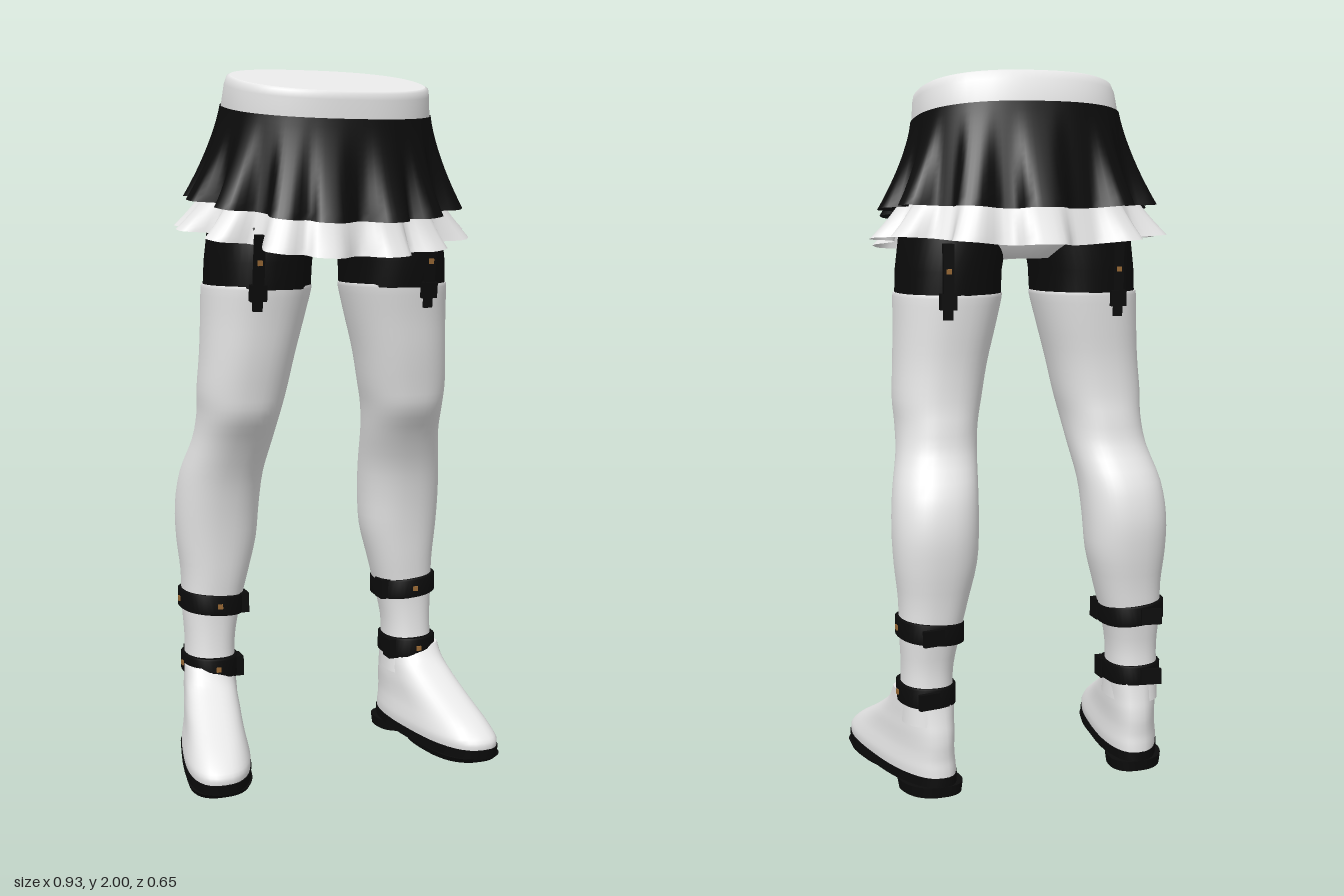
import * as THREE from 'three';

const mat = (name, color, side = THREE.FrontSide) => {
  const m = new THREE.MeshStandardMaterial({ color, side });
  m.name = name;
  return m;
};

// Superellipse point on a ring: e = 2 is an ellipse, larger is boxier
const spow = (v, e) => Math.sign(v) * Math.pow(Math.abs(v), 2 / e);
const ring = (a, cx, cz, rx, rz, e = 2.3) => [cx + rx * spow(Math.cos(a), e), cz + rz * spow(Math.sin(a), e)];
const lerp = THREE.MathUtils.lerp;

// Surface through rings listed from bottom to top; point(row, angle) returns [x, y, z]
function loft(rows, point, { n = 40, caps = true } = {}) {
  const pos = [], idx = [];
  for (const row of rows) for (let j = 0; j < n; j++) pos.push(...point(row, (j / n) * Math.PI * 2));
  for (let i = 0; i < rows.length - 1; i++) {
    for (let j = 0; j < n; j++) {
      const k = (j + 1) % n, p = i * n + j, q = i * n + k;
      idx.push(p, p + n, q, q, p + n, q + n);
    }
  }
  if (caps) {
    for (const [row, top] of [[rows[0], false], [rows[rows.length - 1], true]]) {
      const start = pos.length / 3, c = [0, 0, 0];
      for (let j = 0; j < n; j++) {
        const p = point(row, (j / n) * Math.PI * 2);
        pos.push(...p);
        p.forEach((v, m) => { c[m] += v / n; });
      }
      pos.push(...c);
      for (let j = 0; j < n; j++) {
        const p = start + j, q = start + ((j + 1) % n);
        idx.push(start + n, top ? q : p, top ? p : q);
      }
    }
  }
  const g = new THREE.BufferGeometry();
  g.setAttribute('position', new THREE.Float32BufferAttribute(pos, 3));
  g.setIndex(idx);
  g.computeVertexNormals();
  return g;
}

// Rows are [y, xInner, xOuter, zBack, zFront]
const boxPoint = ([y, x0, x1, z0, z1], a) => {
  const [x, z] = ring(a, (x0 + x1) / 2, (z0 + z1) / 2, (x1 - x0) / 2, (z1 - z0) / 2);
  return [x, y, z];
};

// Adds in-between rows along a smooth curve
function smooth(rows, per = 3) {
  const out = [];
  const cr = (a, b, c, d, t) => b + 0.5 * t * (c - a + t * (2 * a - 5 * b + 4 * c - d + t * (3 * (b - c) + d - a)));
  for (let i = 0; i < rows.length - 1; i++) {
    const a = rows[Math.max(i - 1, 0)], b = rows[i], c = rows[i + 1], d = rows[Math.min(i + 2, rows.length - 1)];
    for (let s = 0; s < per; s++) out.push(b.map((_, m) => cr(a[m], b[m], c[m], d[m], s / per)));
  }
  out.push(rows[rows.length - 1]);
  return out;
}

// Fold positions [x, z] around the skirt
const folds = [[-.22, .3], [-.08, .33], [.1, .33], [.25, .29], [.38, .17], [.4, .01], [.39, -.13],
  [.23, -.28], [.02, -.32], [-.23, -.28], [-.37, -.14], [-.39, .02], [-.37, .17]]
  .map(([x, z]) => Math.atan2(z / .27, x / .34));
const foldAt = (a) => Math.min(1, folds.reduce((s, f) => {
  const d = Math.atan2(Math.sin(a - f), Math.cos(a - f));
  return s + Math.exp(-Math.pow(d / .15, 4));
}, 0));

// Flared cloth; top and hem are { y, tilt, rx, rz, cz }
function flare(top, hem, depth, lift) {
  const rows = Array.from({ length: 13 }, (_, i) => 1 - i / 12);
  return loft(rows, (t, a) => {
    const m = (k) => lerp(top[k], hem[k], t);
    const f = 1 + depth * Math.pow(t, 1.6) * foldAt(a);
    const [x, z] = ring(a, 0, m('cz'), m('rx') * f, m('rz') * f, lerp(2.4, 2.2, t));
    return [x, m('y') + m('tilt') * z + lift * t * Math.cos(a) ** 2, z];
  }, { n: 168, caps: false });
}

export function createModel() {
  const white = mat('white', 0xf2f2f2);
  const whiteCloth = mat('white cloth', 0xf0f0f0, THREE.DoubleSide);
  const black = mat('black', 0x0b0b0b);
  const blackCloth = mat('black cloth', 0x0c0c0c, THREE.DoubleSide);
  const brass = mat('brass', 0x9a6a35);
  const model = new THREE.Group();
  model.name = 'skirtAndLegs';
  const add = (parent, name, geo, m, x = 0, y = 0, z = 0) => {
    const mesh = new THREE.Mesh(geo, m);
    mesh.name = name;
    mesh.position.set(x, y, z);
    parent.add(mesh);
    return mesh;
  };

  // Waist, with a slanted top
  add(model, 'waist', loft([
    [1.85, -.165, .286, .225, .03], [1.88, -.165, .291, .227, .03],
    [1.94, -.2, .286, .216, .042], [1.962, -.22, .281, .208, .05], [1.967, -.22, .272, .2, .05],
  ], ([y, tilt, rx, rz, cz], a) => {
    const [x, z] = ring(a, 0, cz, rx, rz, 2.4);
    return [x, y + tilt * z, z];
  }, { n: 64 }), white);
  add(model, 'hips', loft([[1.49, -.1, .1, -.08, .1], [1.54, -.24, .24, -.14, .17],
    [1.65, -.28, .28, -.17, .2], [1.87, -.27, .27, -.17, .22]], boxPoint), white);

  // Skirt and petticoat
  add(model, 'skirt', flare({ y: 1.882, tilt: -.165, rx: .294, rz: .231, cz: .03 },
    { y: 1.6, tilt: -.11, rx: .338, rz: .268, cz: .01 }, .19, .03), blackCloth);
  add(model, 'petticoat', flare({ y: 1.74, tilt: -.13, rx: .285, rz: .215, cz: .02 },
    { y: 1.503, tilt: -.1, rx: .355, rz: .268, cz: -.003 }, .21, .045), whiteCloth);

  const legRows = smooth([
    [.2, .24, .39, -.2, .0], [.28, .243, .387, -.192, -.022], [.36, .24, .385, -.19, -.03],
    [.45, .222, .39, -.203, -.03], [.55, .197, .392, -.212, -.02], [.65, .173, .403, -.226, -.01],
    [.75, .166, .406, -.23, .005], [.85, .16, .396, -.208, .03], [.95, .147, .372, -.152, .075],
    [1.03, .136, .365, -.135, .122], [1.1, .12, .368, -.124, .138], [1.2, .1, .362, -.122, .157],
    [1.3, .075, .358, -.13, .172], [1.385, .055, .356, -.137, .187], [1.395, .058, .352, -.134, .184],
  ]);
  const footRows = smooth([
    [.05, .092, -.22, .303], [.075, .094, -.218, .303], [.1, .09, -.215, .275], [.125, .085, -.215, .235],
    [.15, .082, -.215, .185], [.18, .08, -.212, .125], [.21, .077, -.206, .07], [.245, .075, -.2, .015],
    [.285, .073, -.195, -.015],
  ]);
  // Foot outline: turned outwards and wider at the ball
  const footPoint = ([y, w, z0, z1], a) => {
    const [x, z] = ring(a, 0, (z0 + z1) / 2, w * (1 + .1 * Math.sin(a)), (z1 - z0) / 2, 2.5);
    return [.318 + x + .17 * (z + .11), y, z];
  };

  for (const side of [1, -1]) {
    const leg = new THREE.Group();
    leg.name = side > 0 ? 'leftLeg' : 'rightLeg';
    leg.scale.x = side;
    model.add(leg);
    add(leg, 'stocking', loft(legRows, boxPoint), white);
    add(leg, 'stockingTop', loft([[1.385, .058, .35, -.136, .188], [1.46, .056, .346, -.142, .198],
      [1.55, .04, .335, -.145, .2], [1.62, .04, .3, -.14, .19]], boxPoint), black);

    // Boot and sole
    add(leg, 'boot', loft(footRows, footPoint), white);
    add(leg, 'sole', loft([[.028, .094, -.222, .305], [.056, .096, -.222, .308]], footPoint), black);
    add(leg, 'forefootSole', loft([[.014, .088, -.04, .285], [.03, .093, -.06, .304]], footPoint), black);
    add(leg, 'heel', loft([[0, .08, -.22, -.065], [.03, .084, -.222, -.06]], footPoint), black);

    // Ankle straps with buckle, tongue and rivets
    for (const [y, x0, x1, z0, z1, slope] of [[.465, .212, .4, -.22, -.013, .09], [.28, .234, .396, -.203, -.004, .03]]) {
      const cx = (x0 + x1) / 2, cz = (z0 + z1) / 2;
      const strap = (row, a) => {
        const p = boxPoint(row, a);
        p[1] += slope * (p[0] - cx);
        return p;
      };
      const b = .006;
      add(leg, 'ankleStrap', loft([[y - .029, x0 + b, x1 - b, z0 + b, z1 - b], [y - .025, x0, x1, z0, z1],
        [y + .025, x0, x1, z0, z1], [y + .029, x0 + b, x1 - b, z0 + b, z1 - b]], strap), black);
      add(leg, 'buckle', new THREE.BoxGeometry(.03, .058, .05), black, x0 + .012, y - .004, cz + .045);
      const tongue = add(leg, 'strapTongue', new THREE.BoxGeometry(.06, .045, .014), black, cx + .02, y, z0 - .008);
      tongue.rotation.y = .15;
      add(leg, 'frontRivet', new THREE.BoxGeometry(.014, .014, .008), brass, cx, y, z1);
      add(leg, 'outerRivet', new THREE.BoxGeometry(.008, .014, .014), brass, x1, y + slope * (x1 - cx), cz);
    }

    // Garter straps and clips, front and back
    for (const [name, z, tilt] of [['frontGarter', .19, -.13], ['backGarter', -.137, .02]]) {
      const g = new THREE.Group();
      g.name = name;
      g.position.set(.25, 1.4, z);
      g.rotation.x = -tilt;
      leg.add(g);
      const out = Math.sign(z);
      add(g, 'garterStrap', new THREE.BoxGeometry(.03, .15, .014), black, 0, .06, 0);
      add(g, 'clip', new THREE.BoxGeometry(.046, .045, .022), black, 0, -.022, 0);
      add(g, 'clipTab', new THREE.BoxGeometry(.026, .035, .018), black, 0, -.055, -.004 * out);
      add(g, 'clipStud', new THREE.BoxGeometry(.014, .014, .006), brass, 0, .06, .009 * out);
    }
  }
  return model;
}
